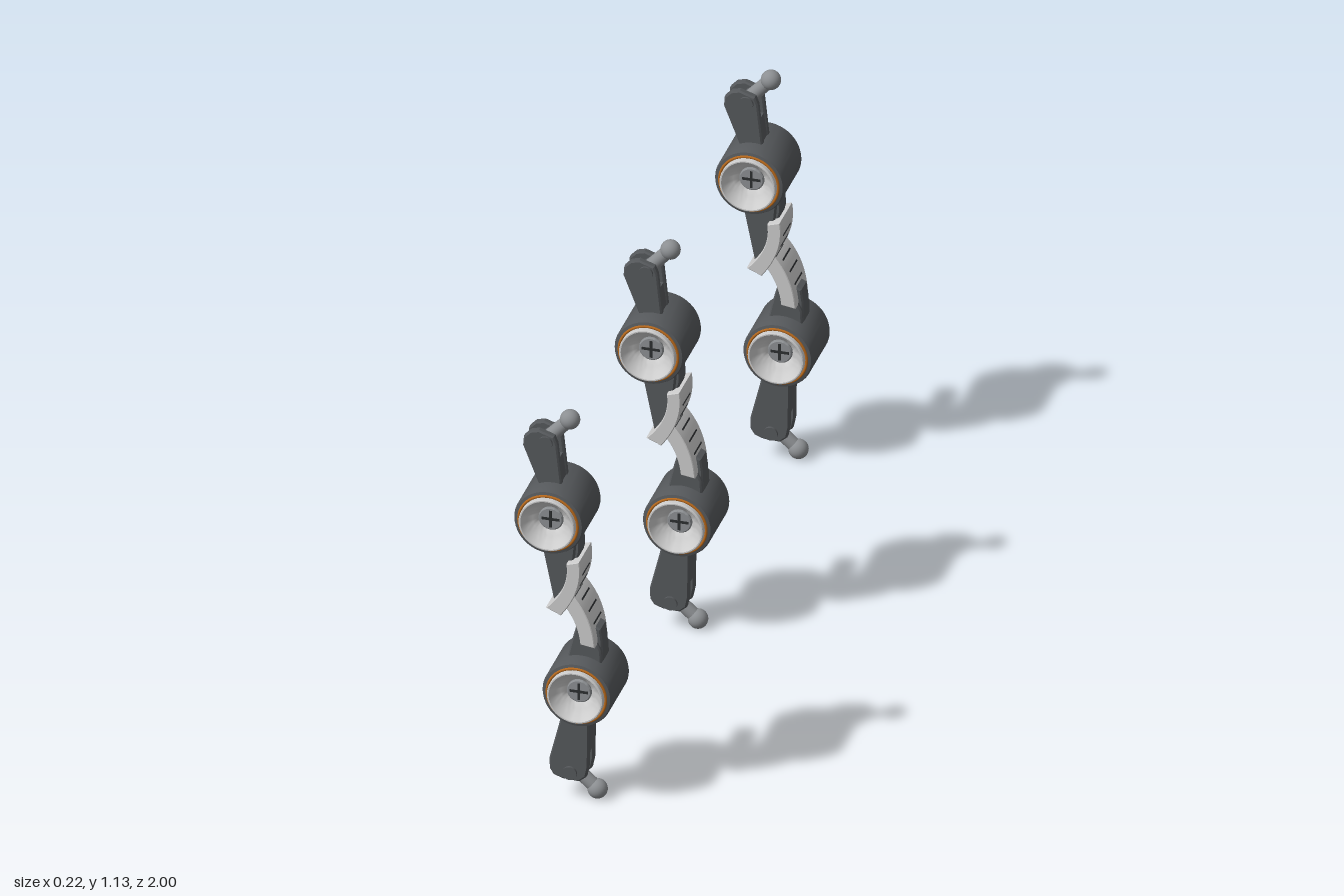
import * as THREE from 'three';
import { toCreasedNormals } from 'three/addons/utils/BufferGeometryUtils.js';

const mat = (color) => new THREE.MeshStandardMaterial({ color });
const light = mat(0xcccccc), dark = mat(0x55585b), mid = mat(0x8c8f92);
const black = mat(0x2c2e30), orange = mat(0xb8691c);
const V2 = (p) => new THREE.Vector2(p[0], p[1]);

function add(parent, name, geo, material, x = 0, y = 0, z = 0) {
  const m = new THREE.Mesh(geo, material);
  m.name = name;
  m.position.set(x, y, z);
  parent.add(m);
  return m;
}

// Plate outlined in the xy plane, centred on z with a small bevel
function plate(points, depth, bevel = 0.004) {
  const g = new THREE.ExtrudeGeometry(new THREE.Shape(points.map(V2)), {
    depth: depth - 2 * bevel, bevelEnabled: bevel > 0, bevelSize: bevel,
    bevelOffset: -bevel, bevelThickness: bevel, bevelSegments: 1,
  });
  g.translate(0, 0, bevel - depth / 2);
  return toCreasedNormals(g, 0.5);
}

// Turned part along z, from [radius, z] points
function turned(points) {
  const g = new THREE.LatheGeometry(points.map(V2), 48);
  g.rotateX(Math.PI / 2);
  return toCreasedNormals(g, 0.6);
}

// Hollow drum with a cup and a cross-slotted hub at each end
function makeDrum() {
  const drum = new THREE.Group();
  drum.name = 'drum';
  add(drum, 'drumShell', turned([
    [0.07, -0.076], [0.078, -0.08], [0.085, -0.078], [0.088, -0.071], [0.088, 0.071],
    [0.085, 0.078], [0.078, 0.08], [0.07, 0.076],
  ].map(([r, z]) => [r, -z]).reverse()), dark);
  for (const turn of [0, Math.PI]) {
    const end = new THREE.Group();
    end.name = 'drumEnd';
    end.rotation.y = turn;
    drum.add(end);
    add(end, 'cup', turned([
      [0.071, 0.06], [0.071, 0.092], [0.069, 0.094], [0.066, 0.094], [0.062, 0.086],
      [0.054, 0.074], [0.044, 0.064], [0.034, 0.057], [0.03, 0.05],
    ]), light);
    add(end, 'accentRing', new THREE.TorusGeometry(0.0745, 0.0035, 8, 48), orange, 0, 0, 0.08);
    add(end, 'hub', turned([[0.031, 0.04], [0.031, 0.056], [0.028, 0.059], [0, 0.059]]), mid);
    add(end, 'hubSlot', new THREE.BoxGeometry(0.046, 0.007, 0.004), black, 0, 0, 0.058);
    add(end, 'hubSlot', new THREE.BoxGeometry(0.007, 0.046, 0.004), black, 0, 0, 0.058);
  }
  return drum;
}

// Curved guard: outer and inner edges are three-point curves
function makeShield(outer, inner) {
  const shield = new THREE.Group();
  shield.name = 'shield';
  const curve = (c) => new THREE.QuadraticBezierCurve(...c.map(V2));
  const o = curve(outer);
  const outline = [...o.getPoints(12), ...curve(inner).getPoints(12).reverse()];
  add(shield, 'shieldPlate', plate(outline.map((p) => [p.x, p.y]), 0.107, 0.002), light);
  for (const t of [0.3, 0.5, 0.7]) {
    const p = o.getPoint(t), d = o.getTangent(t);
    const slot = add(shield, 'shieldSlot', new THREE.BoxGeometry(0.003, 0.004, 0.06), black, p.x, p.y, 0);
    slot.rotation.z = Math.atan2(d.y, d.x) - Math.PI / 2;
  }
  return shield;
}

// Forked arm carrying a ball-ended stalk on a cross pin
function makeArm({ outline, core, pin, ball }) {
  const arm = new THREE.Group();
  arm.name = 'arm';
  for (const z of [-0.023, 0.023]) {
    add(arm, 'forkPlate', plate(outline, 0.02), dark, 0, 0, z);
  }
  add(arm, 'armCore', plate(core, 0.05, 0), dark);
  const axle = add(arm, 'pin', new THREE.CylinderGeometry(0.018, 0.018, 0.078, 20), dark, pin[0], pin[1]);
  axle.rotation.x = Math.PI / 2;
  const a = new THREE.Vector3(pin[0], pin[1], 0), b = new THREE.Vector3(ball[0], ball[1], 0);
  const dir = b.clone().sub(a);
  const stalk = add(arm, 'stalk', new THREE.CylinderGeometry(0.017, 0.018, dir.length(), 20), mid);
  stalk.position.copy(a).add(b).multiplyScalar(0.5);
  stalk.quaternion.setFromUnitVectors(new THREE.Vector3(0, 1, 0), dir.normalize());
  add(arm, 'ball', new THREE.SphereGeometry(0.025, 24, 16), mid, ball[0], ball[1]);
  return arm;
}

const UPPER = {
  name: 'upperUnit', z: 0.05, drum: [-0.022, 0.856],
  arm: {
    outline: [[-0.055, 0.92], [-0.1, 1.035], [-0.098, 1.06], [-0.082, 1.077], [-0.06, 1.083],
      [-0.022, 1.07], [-0.014, 1.05], [0, 0.92]],
    core: [[-0.053, 0.92], [-0.085, 1.005], [-0.012, 1.005], [-0.002, 0.92]],
    pin: [-0.042, 1.052], ball: [0.01, 1.108],
  },
  neck: [[-0.056, 0.8], [-0.046, 0.74], [-0.026, 0.64], [-0.02, 0.61], [0, 0.615], [0.022, 0.68],
    [0.03, 0.74], [0.036, 0.8]],
  rib: [[-0.03, 0.8], [-0.01, 0.68], [0.028, 0.7], [0.042, 0.755], [0.04, 0.8]],
  shield: [[[0.048, 0.742], [0.062, 0.665], [0.002, 0.586]], [[0.016, 0.732], [0.026, 0.665], [-0.036, 0.602]]],
};

const LOWER = {
  name: 'lowerUnit', z: -0.05, drum: [0.02, 0.324],
  arm: {
    outline: [[-0.026, 0.26], [-0.063, 0.11], [-0.062, 0.08], [-0.052, 0.065], [-0.03, 0.057],
      [0.012, 0.055], [0.03, 0.07], [0.036, 0.1], [0.038, 0.26]],
    core: [[-0.024, 0.26], [-0.054, 0.13], [0.033, 0.13], [0.036, 0.26]],
    pin: [-0.01, 0.078], ball: [0.05, 0.0255],
  },
  neck: [[-0.02, 0.38], [-0.008, 0.44], [0.008, 0.5], [0.02, 0.52], [0.034, 0.48], [0.058, 0.45],
    [0.068, 0.43], [0.07, 0.38]],
  rib: [[0.02, 0.38], [0.022, 0.47], [0.05, 0.492], [0.064, 0.485], [0.069, 0.45], [0.07, 0.38]],
  shield: [[[0.058, 0.447], [0.052, 0.545], [-0.016, 0.604]], [[0.022, 0.452], [0.014, 0.53], [-0.042, 0.578]]],
};

function makeUnit(spec) {
  const unit = new THREE.Group();
  unit.name = spec.name;
  const drum = makeDrum();
  drum.position.set(spec.drum[0], spec.drum[1], 0);
  unit.add(drum, makeArm(spec.arm), makeShield(...spec.shield));
  add(unit, 'neck', plate(spec.neck, 0.07), dark);
  add(unit, 'neckRib', plate(spec.rib, 0.05), dark);
  return unit;
}

export function createModel() {
  const model = new THREE.Group();
  model.name = 'jointedLinks';
  // Three identical pairs in a row along z
  for (const z of [0.856, 0, -0.856]) {
    const pair = new THREE.Group();
    pair.name = 'linkPair';
    pair.position.z = z;
    for (const spec of [UPPER, LOWER]) {
      const unit = makeUnit(spec);
      unit.position.z = spec.z;
      pair.add(unit);
    }
    model.add(pair);
  }
  return model;
}
